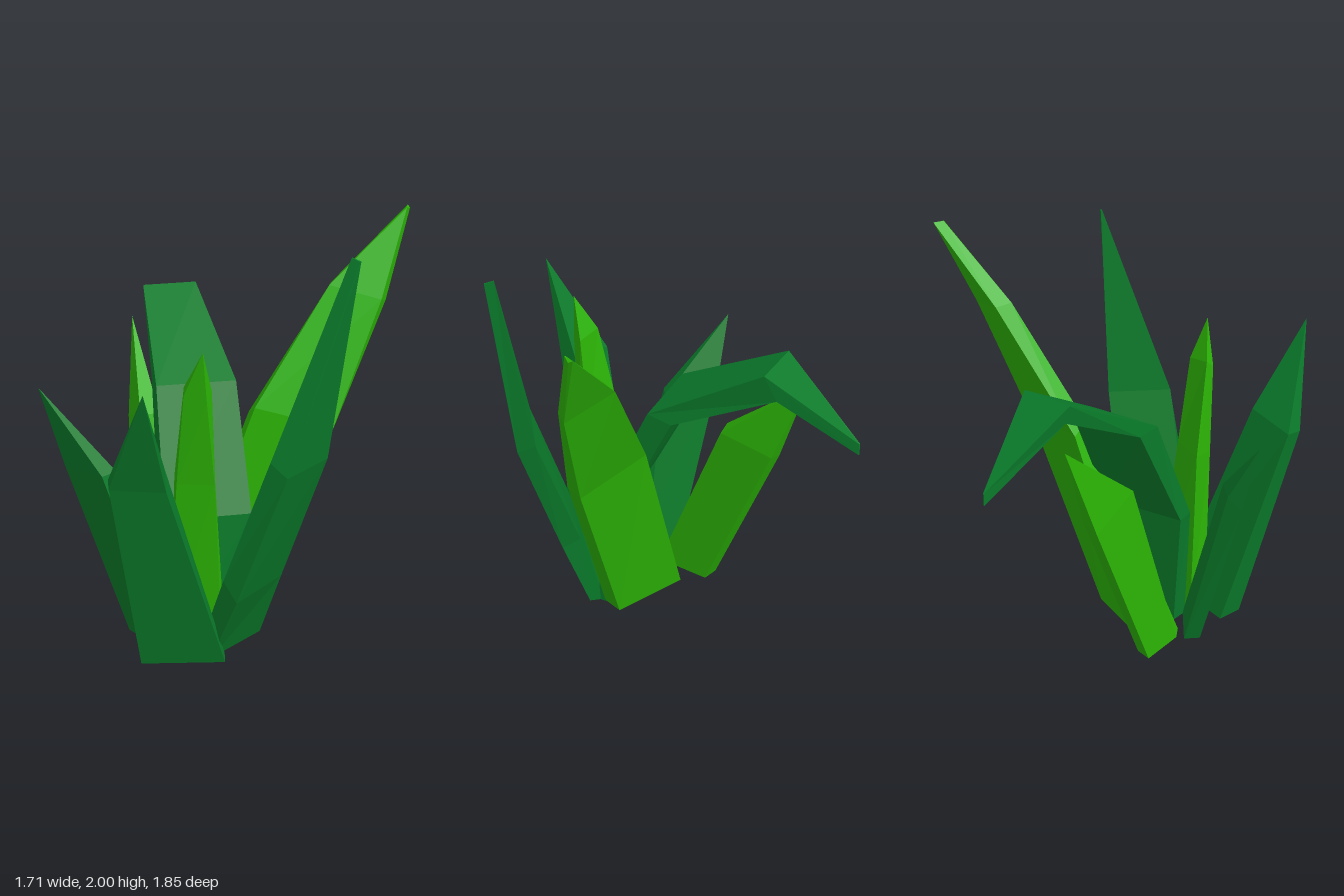
import * as THREE from 'three';

const DARK = 0x0a7a2a, LIGHT = 0x2bb205;

// Four-sided blade, open at the foot, lofted through sections of four corners each:
// outer left, outer right, inner right, inner left.
function blade(name, color, sections) {
  const pos = [];
  const tri = (a, b, c) => pos.push(...a, ...b, ...c);
  for (let s = 0; s < sections.length - 1; s++) {
    const lo = sections[s], hi = sections[s + 1];
    for (let i = 0; i < 4; i++) {
      const j = (i + 1) % 4;
      tri(lo[i], lo[j], hi[j]);
      tri(lo[i], hi[j], hi[i]);
    }
  }
  const top = sections[sections.length - 1];
  tri(top[0], top[1], top[2]);
  tri(top[0], top[2], top[3]);
  const geo = new THREE.BufferGeometry();
  geo.setAttribute('position', new THREE.Float32BufferAttribute(pos, 3));
  geo.computeVertexNormals();
  const mesh = new THREE.Mesh(geo, new THREE.MeshStandardMaterial({
    color, flatShading: true, side: THREE.DoubleSide }));
  mesh.name = name;
  return mesh;
}

// Section that closes to a point
const point = (x, y, z) => [[x, y, z], [x, y, z], [x, y, z], [x, y, z]];

export function createModel() {
  const plant = new THREE.Group();
  plant.name = 'plant';

  plant.add(
    // Tall light leaf leaning backwards
    blade('backLeaf', LIGHT, [
      [[0.01, 0, 0.2], [0.34, 0, 0.02], [0.27, 0, -0.07], [-0.06, 0, 0.17]],
      [[0.21, 1.08, -0.14], [0.51, 1.0, -0.38], [0.45, 0.98, -0.46], [0.13, 1.03, -0.18]],
      [[0.33, 1.65, -0.52], [0.535, 1.59, -0.67], [0.51, 1.57, -0.73], [0.28, 1.64, -0.59]],
      [[0.49, 2, -0.88], [0.495, 2, -0.88], [0.48, 1.99, -0.92], [0.46, 2, -0.925]],
    ]),
    // Tall dark leaf on the +x side
    blade('sideLeaf', DARK, [
      [[0.45, 0, 0.38], [0.42, 0, 0.02], [0.35, 0, 0.03], [0.35, 0, 0.37]],
      [[0.61, 0.35, 0.37], [0.55, 0.35, 0.01], [0.46, 0.4, 0.02], [0.5, 0.42, 0.35]],
      [[0.79, 1.0, 0.23], [0.75, 1.0, -0.08], [0.66, 1.03, -0.08], [0.69, 1.05, 0.24]],
      [[0.855, 1.96, -0.14], [0.855, 1.96, -0.15], [0.81, 1.97, -0.14], [0.81, 1.97, -0.135]],
    ]),
    // Dark front leaf
    blade('frontLeaf', DARK, [
      [[0.26, 0, 0.66], [0.525, 0, 0.36], [0.46, 0, 0.3], [0.16, 0, 0.57]],
      [[0.36, 1.02, 0.925], [0.525, 1.0, 0.73], [0.46, 1.08, 0.68], [0.29, 1.03, 0.87]],
      point(0.595, 1.535, 0.925),
    ]),
    // Dark leaf leaning to the front and -x
    blade('frontSideLeaf', DARK, [
      [[-0.03, 0, 0.48], [0.25, 0, 0.48], [0.2, 0, 0.37], [-0.05, 0, 0.4]],
      [[-0.25, 0.88, 0.68], [0, 0.89, 0.66], [0, 0.89, 0.57], [-0.28, 0.97, 0.61]],
      point(-0.34, 1.27, 0.755),
    ]),
    // Light leaf on the -x side
    blade('lightSideLeaf', LIGHT, [
      [[-0.25, 0, 0.24], [-0.04, 0, 0.36], [0.04, 0, 0.36], [-0.19, 0, 0.18]],
      [[-0.54, 0.87, 0.02], [-0.29, 0.98, 0.16], [-0.25, 0.98, 0.07], [-0.49, 0.9, -0.05]],
      point(-0.65, 1.35, -0.11),
    ]),
    // Wide dark leaf that bends over and hangs down
    blade('bentLeaf', DARK, [
      [[0.2, 0, 0.38], [0.37, 0, 0.03], [0.28, 0, -0.02], [0.12, 0, 0.33]],
      [[0.15, 0.63, 0.4], [0.36, 0.62, 0.025], [0.25, 0.62, -0.04], [0.06, 0.63, 0.36]],
      [[-0.07, 1.22, 0.25], [0.12, 1.21, -0.1], [0.01, 1.18, -0.16], [-0.18, 1.21, 0.18]],
      [[-0.55, 1.54, -0.1], [-0.41, 1.54, -0.33], [-0.47, 1.41, -0.345], [-0.55, 1.45, -0.12]],
      [[-0.855, 1.23, -0.445], [-0.85, 1.23, -0.45], [-0.85, 1.17, -0.45], [-0.855, 1.17, -0.445]],
    ]),
    // Small light leaf in the middle
    blade('centreLeaf', LIGHT, [
      [[0.25, 0, 0.48], [0.43, 0, 0.29], [0.37, 0, 0.21], [0.19, 0, 0.41]],
      [[0.32, 0.9, 0.48], [0.45, 0.9, 0.36], [0.4, 0.9, 0.31], [0.24, 0.9, 0.42]],
      [[0.37, 1.35, 0.48], [0.46, 1.33, 0.42], [0.43, 1.36, 0.36], [0.34, 1.38, 0.45]],
      point(0.455, 1.57, 0.44),
    ]),
  );
  return plant;
}
